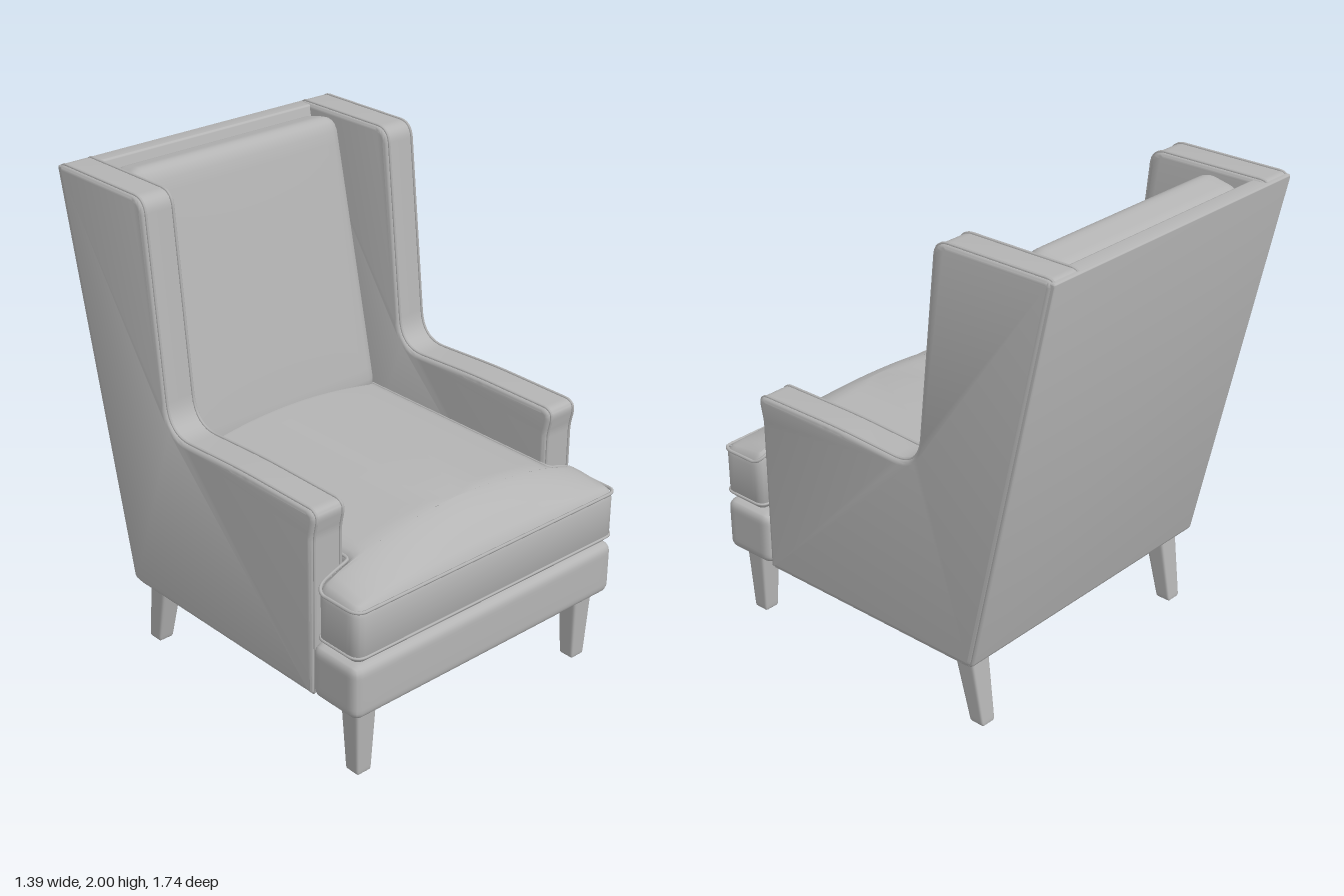
import * as THREE from 'three';
import { mergeVertices, toCreasedNormals } from 'three/addons/utils/BufferGeometryUtils.js';

const upholstery = new THREE.MeshStandardMaterial({ color: 0xb4b4b4 });
upholstery.name = 'grey upholstery';

// closed outline with rounded corners, from [x, y, radius] corners
function roundedShape(corners) {
  const shape = new THREE.Shape();
  const n = corners.length;
  corners.forEach(([x, y, r], i) => {
    const here = new THREE.Vector2(x, y);
    const toward = (c) => {
      const d = new THREE.Vector2(c[0], c[1]).sub(here).normalize();
      return here.clone().addScaledVector(d, r);
    };
    const a = toward(corners[(i + n - 1) % n]);
    const b = toward(corners[(i + 1) % n]);
    if (i === 0) shape.moveTo(a.x, a.y);
    else shape.lineTo(a.x, a.y);
    shape.quadraticCurveTo(x, y, b.x, b.y);
  });
  shape.closePath();
  return shape;
}

// extrude a (z, y) profile across x, centred on x = 0
function extrudeAcross(shape, width, bevel) {
  const g = new THREE.ExtrudeGeometry(shape, {
    depth: width - 2 * bevel, bevelThickness: bevel, bevelSize: bevel,
    bevelOffset: -bevel, bevelSegments: 4, curveSegments: 8,
  });
  g.translate(0, 0, -(width / 2 - bevel));
  g.rotateY(-Math.PI / 2);
  return toCreasedNormals(g, 0.6);
}

// rounded box with softly swollen faces
function pillow(w, h, d, r, swell) {
  const box = new THREE.BoxGeometry(2, 2, 2, 20, 20, 20);
  box.deleteAttribute('normal');
  box.deleteAttribute('uv');
  const g = mergeVertices(box);
  const p = g.attributes.position;
  const half = new THREE.Vector3(w / 2, h / 2, d / 2);
  const core = half.clone().subScalar(r);
  const v = new THREE.Vector3();
  for (let i = 0; i < p.count; i++) {
    v.fromBufferAttribute(p, i);
    const puff = 1 + swell * (1 - v.x * v.x) * (1 - v.y * v.y);
    v.set(...v.toArray().map((c) => Math.sin(c * Math.PI / 2))).multiply(half);
    const inner = v.clone().clamp(core.clone().negate(), core);
    v.sub(inner).normalize().multiplyScalar(r).add(inner);
    p.setXYZ(i, v.x, v.y, v.z * puff);
  }
  g.computeVertexNormals();
  return g;
}

function piping(points, radius) {
  const curve = new THREE.CatmullRomCurve3(points, true);
  return new THREE.TubeGeometry(curve, points.length * 2, radius, 6, true);
}

// crowned T-shaped cushion lofted from inset outlines
const crown = (x, z) => {
  const side = Math.cos(Math.min(1, Math.abs(x) / 0.69) * Math.PI / 2);
  const front = Math.min(1, Math.max(0, (0.86 - z) / 0.24));
  return 0.14 * Math.pow(Math.max(0, side), 0.6) * Math.sin(front * Math.PI / 2);
};

function seatOutline() {
  const shape = roundedShape([
    [0.53, -0.42, 0.04], [0.53, 0.645, 0.02], [0.69, 0.645, 0.04], [0.69, 0.865, 0.05],
    [-0.69, 0.865, 0.05], [-0.69, 0.645, 0.04], [-0.53, 0.645, 0.02], [-0.53, -0.42, 0.04],
  ]);
  const pts = shape.getSpacedPoints(260);
  pts.pop();
  return pts;
}

function seatGeometry(outline) {
  const n = outline.length;
  // [inset, scale toward middle, height, share of crown]
  const rings = [
    [0.04, 0.001, 0.54, 0], [0.04, 1, 0.54, 0], [0.014, 1, 0.55, 0], [0, 1, 0.575, 0],
    [0, 1, 0.74, 1], [0.008, 1, 0.762, 1], [0.025, 1, 0.774, 1],
  ];
  for (const s of [0.94, 0.86, 0.76, 0.64, 0.5, 0.35, 0.2, 0.001]) rings.push([0.025, s, 0.776, 1]);
  const pos = [], index = [];
  rings.forEach(([inset, s, y, share], k) => {
    for (let i = 0; i < n; i++) {
      const a = outline[(i + n - 1) % n], b = outline[(i + 1) % n];
      const t = b.clone().sub(a).normalize();
      const x = (outline[i].x - t.y * inset) * s;
      const z = 0.66 + (outline[i].y + t.x * inset - 0.66) * s;
      pos.push(x, y + share * crown(x, z), z);
      if (k === 0) continue;
      const j = (i + 1) % n, lo = (k - 1) * n, hi = k * n;
      index.push(lo + i, hi + i, lo + j, lo + j, hi + i, hi + j);
    }
  });
  const g = new THREE.BufferGeometry();
  g.setAttribute('position', new THREE.Float32BufferAttribute(pos, 3));
  g.setIndex(index);
  return toCreasedNormals(g, 0.8);
}

// square tapered leg, its foot shifted along z
function legGeometry(lean) {
  const g = pillow(0.1, 0.32, 0.1, 0.014, 0);
  const p = g.attributes.position;
  for (let i = 0; i < p.count; i++) {
    const t = 0.5 - p.getY(i) / 0.32;
    const k = 1 - 0.3 * t;
    p.setXYZ(i, p.getX(i) * k, p.getY(i) + 0.16, p.getZ(i) * k + lean * t);
  }
  g.computeVertexNormals();
  return g;
}

export function createModel() {
  const chair = new THREE.Group();
  chair.name = 'wingbackArmchair';
  const add = (name, geometry, x = 0, y = 0, z = 0) => {
    const mesh = new THREE.Mesh(geometry, upholstery);
    mesh.name = name;
    mesh.position.set(x, y, z);
    chair.add(mesh);
    return mesh;
  };

  // arm and wing in one panel per side, with piped edges
  const profile = roundedShape([
    [-0.485, 0.3, 0.03], [0.615, 0.3, 0.01], [0.615, 0.97, 0.02], [0.638, 1.08, 0.05],
    [0.2, 1.082, 0.1], [-0.225, 1.062, 0.13], [-0.325, 1.993, 0.06], [-0.862, 1.993, 0.035],
  ]);
  const sideGeometry = extrudeAcross(profile, 0.16, 0.02);
  const edge = profile.getSpacedPoints(220).slice(0, -1);
  const edgePiping = piping(edge.map((q) => new THREE.Vector3(0, q.y, q.x)), 0.006);
  for (const [side, s] of [['left', 1], ['right', -1]]) {
    add(side + 'ArmAndWing', sideGeometry, s * 0.61);
    add(side + 'OuterPiping', edgePiping, s * 0.672);
    add(side + 'InnerPiping', edgePiping, s * 0.548);
    add(side + 'FrontLeg', legGeometry(0), s * 0.592, 0, 0.767);
    add(side + 'BackLeg', legGeometry(-0.06), s * 0.592, 0, -0.4);
  }

  // sloping back slab
  add('backPanel', extrudeAcross(roundedShape([
    [-0.42, 0.305, 0.01], [-0.79, 1.987, 0.01], [-0.868, 1.987, 0.015], [-0.494, 0.305, 0.02],
  ].reverse()), 1.37, 0.008));

  // leaning back cushion
  const cushion = add('backCushion', pillow(1.06, 1.2, 0.2, 0.065, 0.12), 0, 1.39, -0.56);
  cushion.rotation.x = -0.217;

  // seat frame and padded front rail
  add('seatFrame', new THREE.BoxGeometry(1.2, 0.26, 1.15), 0, 0.431, 0.115);
  add('frontRail', pillow(1.39, 0.232, 0.25, 0.04, 0.02), 0, 0.416, 0.74);

  // seat cushion with piped seams
  const outline = seatOutline();
  add('seatCushion', seatGeometry(outline));
  add('seatTopPiping', piping(outline.map((q) => new THREE.Vector3(q.x, 0.765 + crown(q.x, q.y), q.y)), 0.007));
  add('seatBottomPiping', piping(outline.map((q) => new THREE.Vector3(q.x, 0.572, q.y)), 0.006));

  return chair;
}
